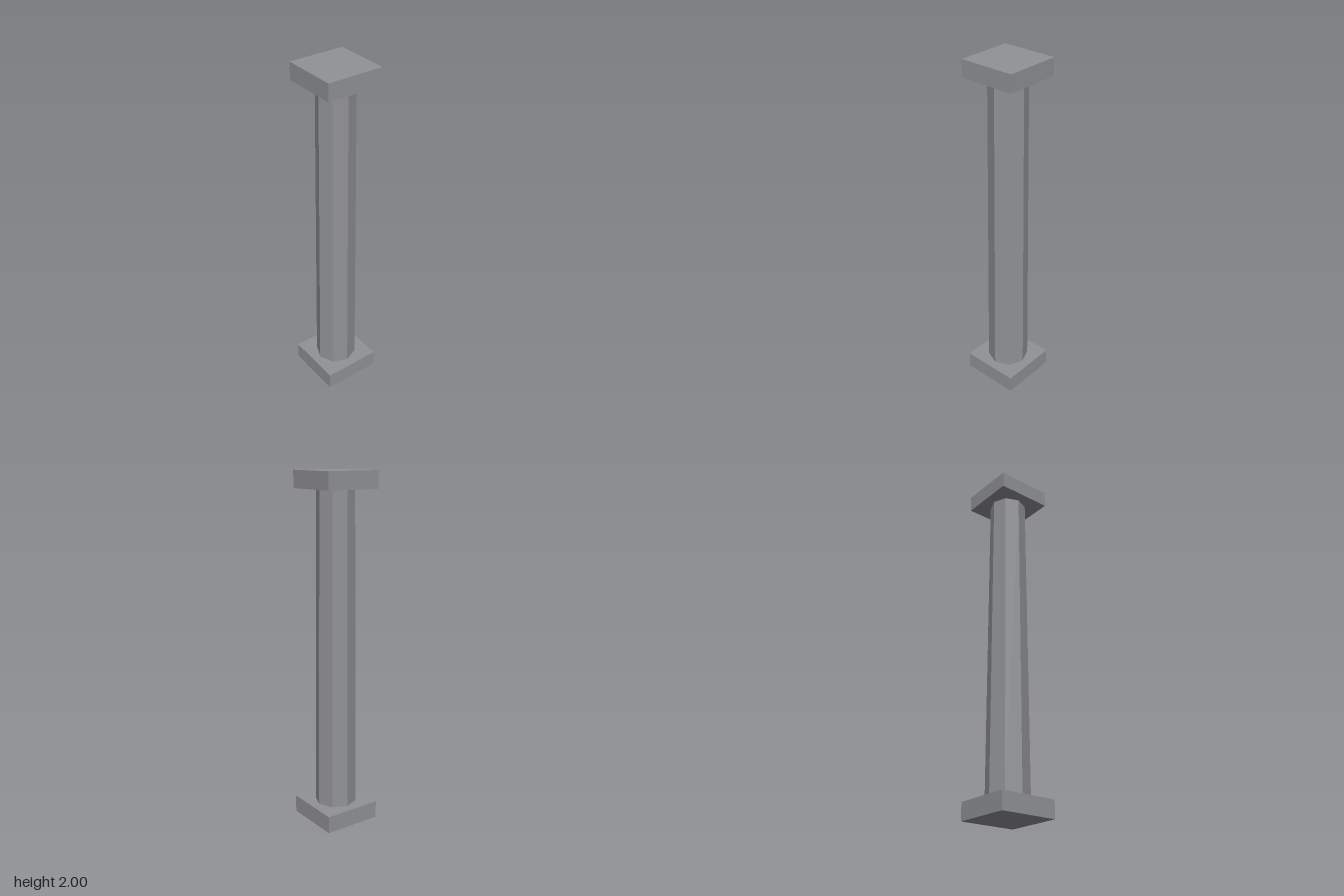
import * as THREE from 'three';

export function createModel() {
  const group = new THREE.Group();
  group.name = 'column';
  const stone = new THREE.MeshStandardMaterial({ color: 0x919296 });
  stone.name = 'grey stone';
  stone.flatShading = true;

  const add = (name, geometry, y) => {
    const mesh = new THREE.Mesh(geometry, stone);
    mesh.name = name;
    mesh.position.y = y;
    group.add(mesh);
  };

  // square slabs at foot and head
  add('base', new THREE.BoxGeometry(0.34, 0.1, 0.34), 0.05);
  add('capital', new THREE.BoxGeometry(0.324, 0.096, 0.324), 1.952);

  // tapered eight-sided shaft, corners on the axes
  add('shaft', new THREE.CylinderGeometry(0.105, 0.12, 1.804, 8), 1.002);

  return group;
}
